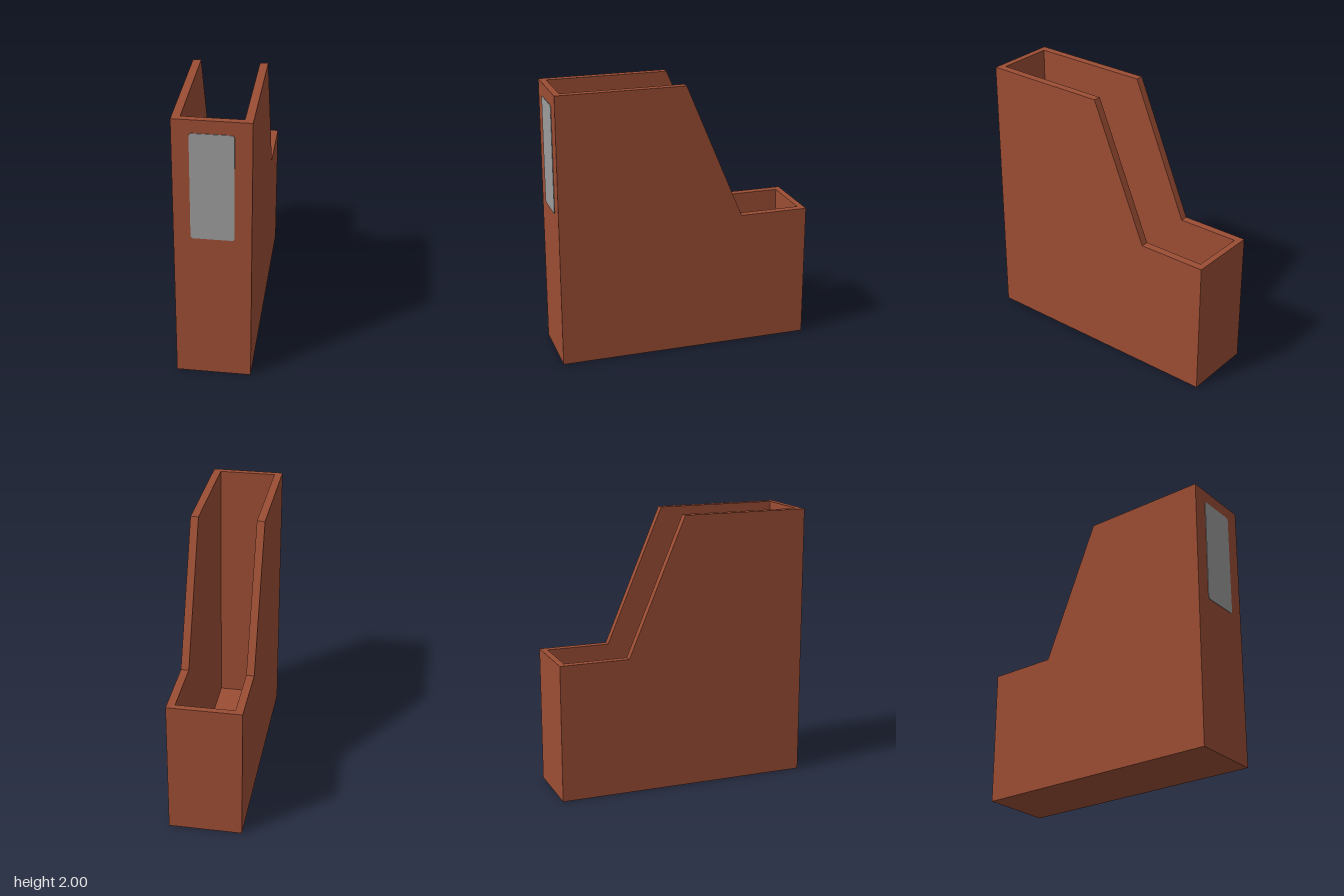
import * as THREE from 'three';

const brown = new THREE.MeshStandardMaterial({ color: 0x9c4d34 });
brown.name = 'brown board';
const grey = new THREE.MeshStandardMaterial({ color: 0x9d9d9d });
grey.name = 'grey label';

const HALF_W = 0.264, HALF_D = 0.935; // outer half width and depth
const SIDE = 0.057, END = 0.046, FLOOR = 0.05; // board thicknesses
const TALL = 2, LOW = 1;

export function createModel() {
  const group = new THREE.Group();
  group.name = 'magazineFile';
  const add = (name, geometry, material, x, y, z) => {
    const mesh = new THREE.Mesh(geometry, material);
    mesh.name = name;
    mesh.position.set(x, y, z);
    group.add(mesh);
  };

  // Side boards with the sloped cutaway; shape x runs towards the back
  const profile = new THREE.Shape([
    [-HALF_D, 0], [HALF_D, 0], [HALF_D, LOW], [0.425, LOW], [0, TALL], [-HALF_D, TALL],
  ].map(([x, y]) => new THREE.Vector2(x, y)));
  const side = new THREE.ExtrudeGeometry(profile, { depth: SIDE, bevelEnabled: false });
  side.rotateY(Math.PI / 2);
  add('leftSide', side, brown, HALF_W - SIDE, 0, 0);
  add('rightSide', side, brown, -HALF_W, 0, 0);

  // Tall front, low back and floor fitted between the sides
  const innerW = 2 * (HALF_W - SIDE);
  const board = (name, h, d, z) =>
    add(name, new THREE.BoxGeometry(innerW, h, d), brown, 0, h / 2, z);
  board('frontWall', TALL, END, HALF_D - END / 2);
  board('backWall', LOW, END, -HALF_D + END / 2);
  board('floor', FLOOR, 2 * (HALF_D - END), 0);

  // Label plate with small rounded corners
  const w = 0.148, h = 0.393, r = 0.02;
  const label = new THREE.Shape();
  label.absarc(w - r, h - r, r, 0, Math.PI / 2);
  label.absarc(-w + r, h - r, r, Math.PI / 2, Math.PI);
  label.absarc(-w + r, -h + r, r, Math.PI, Math.PI * 1.5);
  label.absarc(w - r, -h + r, r, Math.PI * 1.5, Math.PI * 2);
  const plate = new THREE.ExtrudeGeometry(label, { depth: 0.004, bevelEnabled: false, curveSegments: 4 });
  add('label', plate, grey, 0, 1.513, HALF_D);

  return group;
}
